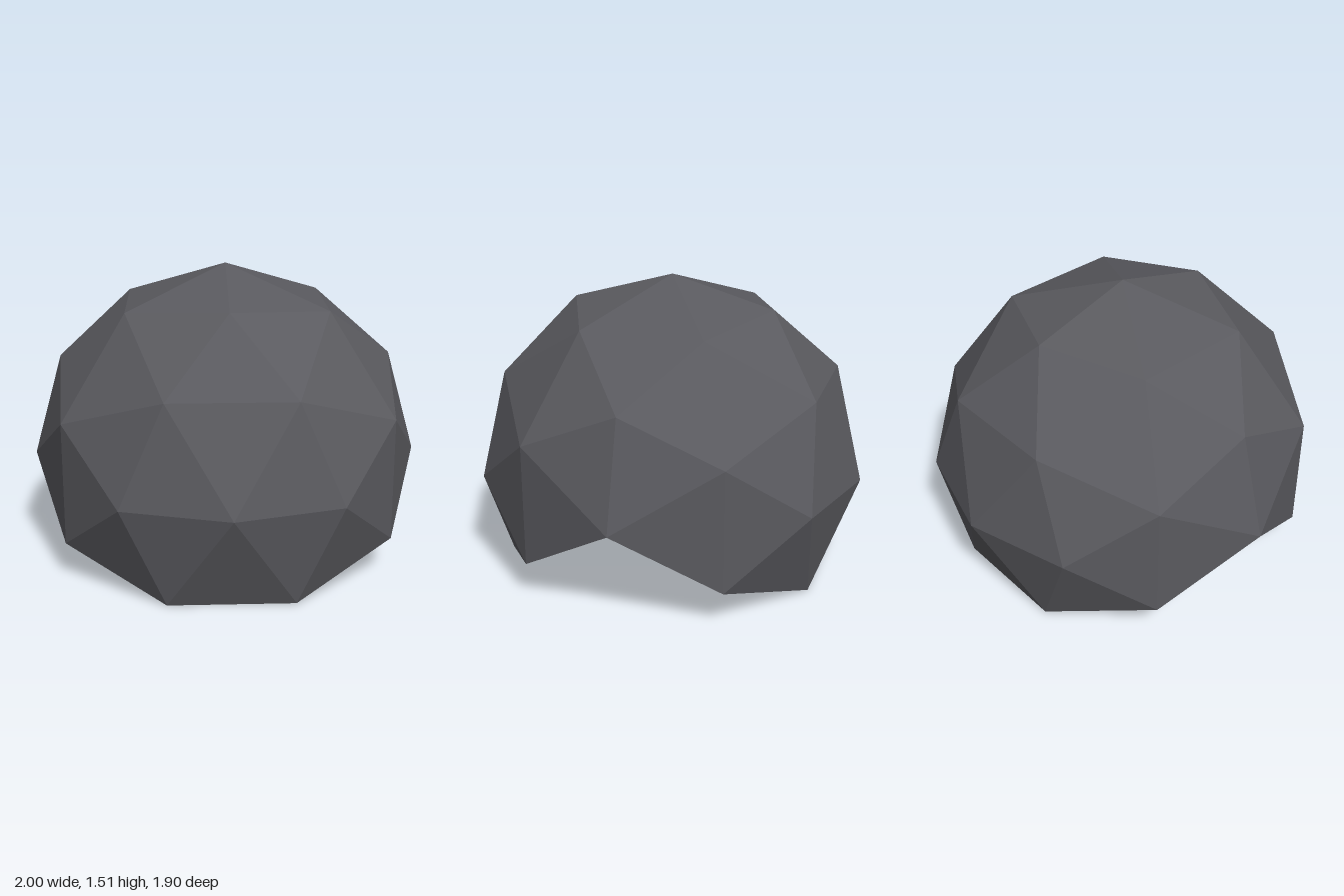
import * as THREE from 'three';

const R = 1.006;          // dome radius
const BASE = R / 2;       // height of the sphere centre above the ground
const TURN = -THREE.MathUtils.degToRad(38);

// Geodesic shell: keep only the triangles above the base line,
// which leaves two arched openings on opposite sides.
function domeGeometry() {
  const pos = new THREE.IcosahedronGeometry(R, 1).getAttribute('position');
  const kept = [];
  for (let f = 0; f < pos.count; f += 3) {
    const corners = [f, f + 1, f + 2];
    if (corners.some((i) => pos.getY(i) < -0.51 * R)) continue;
    for (const i of corners) kept.push(pos.getX(i), pos.getY(i), pos.getZ(i));
  }
  const geo = new THREE.BufferGeometry();
  geo.setAttribute('position', new THREE.Float32BufferAttribute(kept, 3));
  geo.rotateY(TURN).translate(0, BASE, 0);
  geo.computeVertexNormals();
  return geo;
}

export function createModel() {
  const model = new THREE.Group();
  model.name = 'geodesicShelter';

  const grey = new THREE.MeshStandardMaterial({
    color: 0x5a5a5f, flatShading: true, side: THREE.DoubleSide,
  });
  const dome = new THREE.Mesh(domeGeometry(), grey);
  dome.name = 'dome';
  model.add(dome);

  // Slim tapered rod inside, leaning from the middle towards one wall
  const top = new THREE.Vector3(0, 0.85, 0);
  const tip = new THREE.Vector3(0.55, 0.32, 0.44);
  const along = tip.clone().sub(top);
  const rod = new THREE.Mesh(
    new THREE.CylinderGeometry(0.003, 0.018, along.length(), 8),
    new THREE.MeshStandardMaterial({ color: 0xb08d57 }),
  );
  rod.name = 'rod';
  rod.position.copy(top).addScaledVector(along, 0.5);
  rod.quaternion.setFromUnitVectors(new THREE.Vector3(0, 1, 0), along.normalize());
  model.add(rod);

  // Thin upright end piece of the rod
  const end = new THREE.Mesh(
    new THREE.BoxGeometry(0.015, 0.15, 0.015),
    new THREE.MeshStandardMaterial({ color: 0x333333 }),
  );
  end.name = 'rodEnd';
  end.position.copy(top);
  end.rotation.y = TURN;
  model.add(end);

  return model;
}
